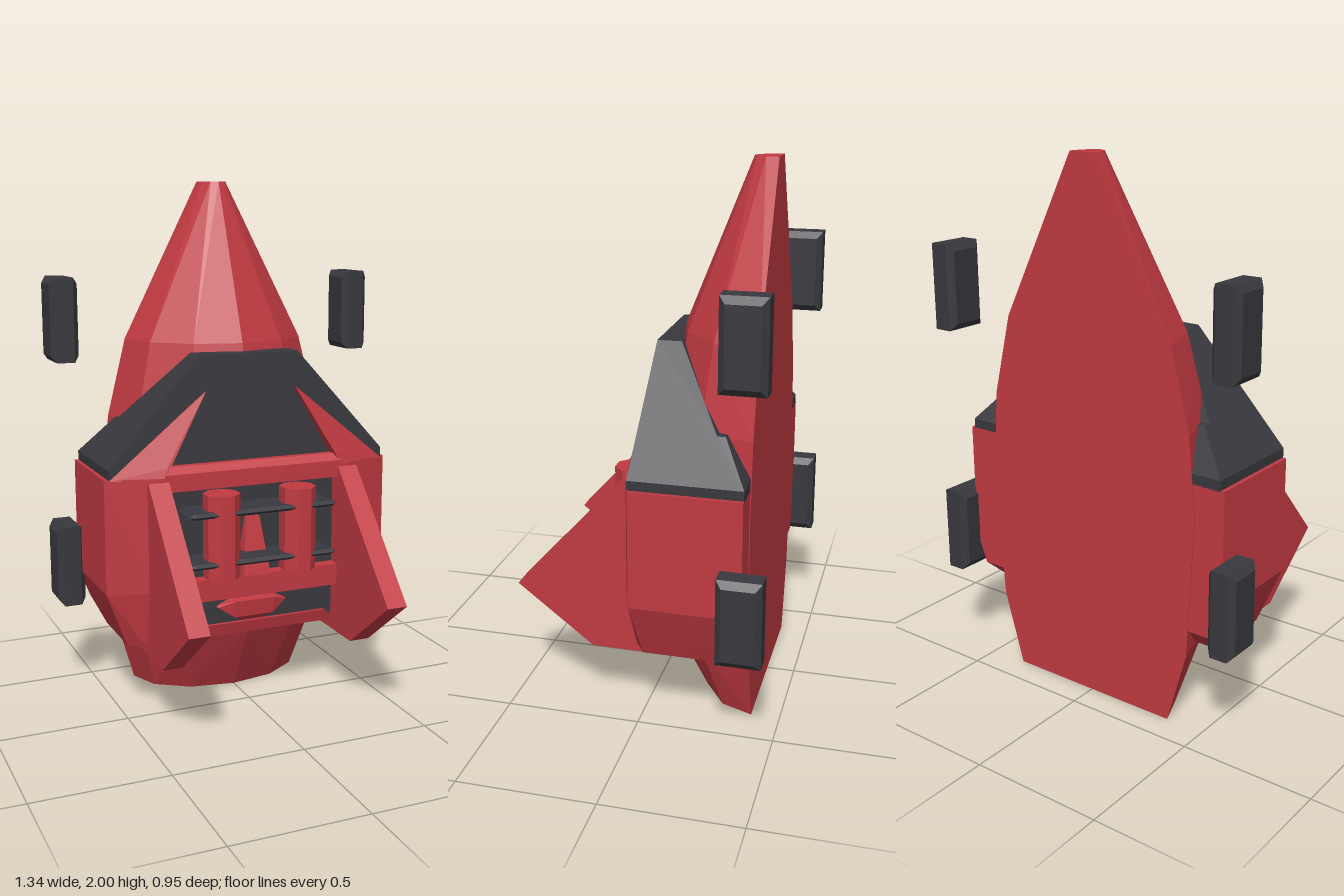
import * as THREE from 'three';
import { ConvexGeometry } from 'three/addons/geometries/ConvexGeometry.js';

export function createModel() {
  const model = new THREE.Group();
  const red = new THREE.MeshStandardMaterial({ color: 0xc13a42 });
  red.name = 'red paint';
  const dark = new THREE.MeshStandardMaterial({ color: 0x38383e });
  dark.name = 'dark grey';

  function add(name, geometry, material, x = 0, y = 0, z = 0) {
    const mesh = new THREE.Mesh(geometry, material);
    mesh.name = name;
    mesh.position.set(x, y, z);
    model.add(mesh);
    return mesh;
  }
  const convex = (points) => new ConvexGeometry(points.map((p) => new THREE.Vector3(...p)));
  // box given by its limits
  function block(name, material, x0, x1, y0, y1, z0, z1) {
    const geometry = new THREE.BoxGeometry(x1 - x0, y1 - y0, z1 - z0);
    return add(name, geometry, material, (x0 + x1) / 2, (y0 + y1) / 2, (z0 + z1) / 2);
  }
  // outline in (z, y), extruded across x about the centre
  function sideProfile(points, width) {
    const shape = new THREE.Shape(points.map(([z, y]) => new THREE.Vector2(-z, y)));
    const geometry = new THREE.ExtrudeGeometry(shape, { depth: width, bevelEnabled: false });
    geometry.translate(0, 0, -width / 2);
    geometry.rotateY(Math.PI / 2);
    return geometry;
  }

  // hull: half-elliptical sections [y, half width, depth] with a flat back
  const sections = [
    [0, 0.35, 0.235], [0.28, 0.43, 0.39], [0.8, 0.46, 0.402],
    [1.1, 0.435, 0.392], [1.4, 0.36, 0.333], [2, 0.055, 0.095],
  ];
  const hullPoints = [];
  for (const [y, rx, rz] of sections) {
    for (let i = 0; i <= 6; i++) {
      const a = (i * Math.PI) / 6;
      hullPoints.push([rx * Math.cos(a), y, -0.394 + rz * Math.sin(a)]);
    }
  }
  add('hull', convex(hullPoints), red);

  // collar: side outline whose ends lean inwards towards the top
  const collar = sideProfile([
    [0.015, 0.97], [0, 1.37], [-0.09, 1.37], [-0.27, 1.11], [-0.3, 1.11], [-0.39, 0.97],
  ], 2);
  const pos = collar.attributes.position;
  for (let i = 0; i < pos.count; i++) {
    const half = 0.56 - (pos.getY(i) - 0.97) * 0.9;
    pos.setX(i, Math.sign(pos.getX(i)) * half);
  }
  collar.computeVertexNormals();
  add('collar', collar, dark);
  block('collarBase', dark, -0.56, 0.56, 0.93, 0.97, -0.39, 0.015);

  // recessed front panel and its frame
  block('frontPanel', dark, -0.37, 0.37, 0.31, 0.92, -0.1, 0.02);
  add('topBar', sideProfile([
    [-0.02, 0.88], [0.068, 0.88], [0.068, 0.945], [0.045, 0.97], [-0.02, 0.97],
  ], 0.72), red);
  block('middleBar', red, -0.37, 0.37, 0.445, 0.53, -0.02, 0.068);
  add('bottomBar', convex([-1, 1].flatMap((s) => [
    [s * 0.37, 0.285, -0.1], [s * 0.37, 0.285, 0.02],
    [s * 0.31, 0.335, -0.1], [s * 0.31, 0.335, 0.035],
  ])), red);

  // centre details
  add('centreWedge', convex([-1, 1].flatMap((s) => [
    [s * 0.03, 0.75, 0], [s * 0.028, 0.75, 0.035],
    [s * 0.065, 0.53, 0], [s * 0.055, 0.53, 0.08],
  ])), red);
  add('lowerLip', convex([-1, 1].flatMap((s) => [
    [s * 0.15, 0.405, 0.01], [s * 0.09, 0.435, 0.01], [s * 0.08, 0.425, 0.06],
    [s * 0.14, 0.4, 0.03], [s * 0.08, 0.36, 0.05], [s * 0.03, 0.33, 0.015],
  ])), red);

  // shelves across the two columns
  for (const y of [0.61, 0.8]) {
    add('shelf', convex([-1, 1].flatMap((s) => [
      [s * 0.295, y, 0.02], [s * 0.295, y, 0.15], [s * 0.28, y, 0.165],
      [s * 0.28, y + 0.011, 0.02], [s * 0.28, y + 0.011, 0.15],
      [s * 0.28, y - 0.011, 0.02], [s * 0.28, y - 0.011, 0.15],
    ])), dark);
  }

  for (const s of [-1, 1]) {
    const side = s > 0 ? 'left' : 'right';
    const mirrored = (points) => convex(points.map(([x, y, z]) => [s * x, y, z]));

    // side pod, tapering at the bottom
    const podPoints = [
      [0.49, 0.285, -0.29], [0.36, 0.285, -0.29], [0.49, 0.285, -0.02],
      [0.43, 0.285, 0.02], [0.36, 0.285, 0.03], [0.575, 0.5, -0.39], [0.36, 0.38, -0.39],
      [0.53, 0.38, -0.39], [0.575, 0.5, 0.01], [0.39, 0.5, 0.07], [0.36, 0.5, 0.07],
      [0.575, 0.935, -0.39], [0.36, 0.935, -0.39], [0.575, 0.935, 0.01],
      [0.39, 0.935, 0.068], [0.36, 0.935, 0.068],
    ];
    add(side + 'Pod', mirrored(podPoints), red);

    // pointed horn lying on the collar
    add(side + 'Horn', mirrored([
      [0.56, 0.93, 0.018], [0.36, 0.93, 0.068], [0.35, 0.97, 0.06], [0.18, 1.24, 0.02],
      [0.23, 1.2, 0.016], [0.5, 0.93, -0.02], [0.35, 0.93, -0.02], [0.2, 1.2, -0.005],
    ]), red);

    // forward blade
    add(side + 'Blade', sideProfile([
      [0.068, 0.92], [-0.09, 0.92], [-0.09, 0.25], [0.19, 0.25], [0.475, 0.47],
    ], 0.08), red, s * 0.385);

    // faceted column
    const column = new THREE.CylinderGeometry(0.07, 0.07, 0.32, 8);
    column.rotateY(Math.PI / 8);
    add(side + 'Column', column.toNonIndexed(), red, s * 0.155, 0.71, 0.105).geometry.computeVertexNormals();

    // detached chamfered blocks
    for (const y of [0.525, 1.485]) {
      const points = [];
      for (const a of [-1, 1]) for (const b of [-1, 1]) for (const c of [-1, 1]) {
        points.push([a * 0.034, b * 0.16, c * 0.08], [a * 0.054, b * 0.135, c * 0.058]);
      }
      add(side + 'Thruster', convex(points), dark, s * 0.615, y, -0.395);
    }
  }
  return model;
}
